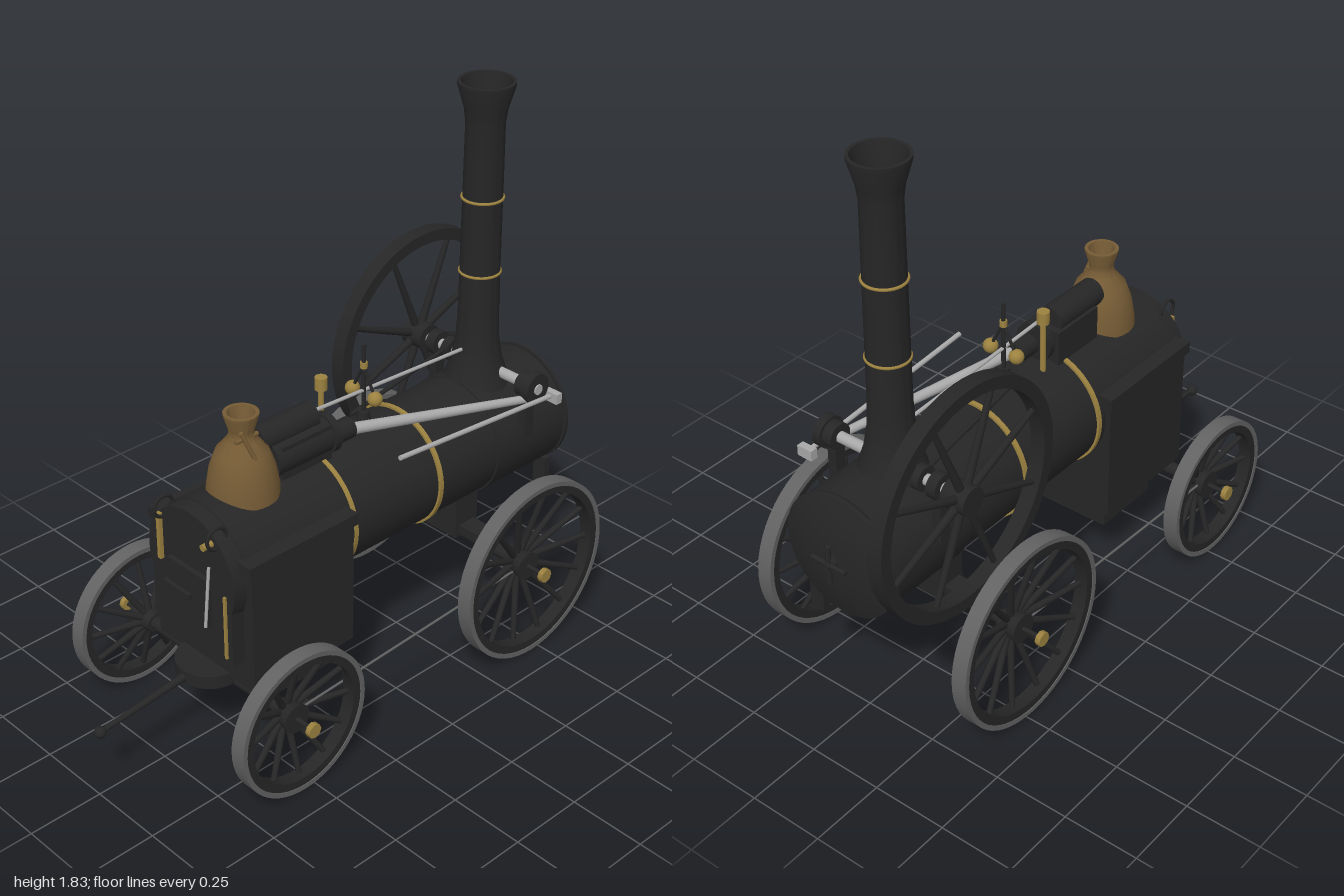
import * as THREE from 'three';
import { toCreasedNormals } from 'three/addons/utils/BufferGeometryUtils.js';

const material = (name, color) => {
  const m = new THREE.MeshStandardMaterial({ color });
  m.name = name;
  return m;
};

export function createModel() {
  const root = new THREE.Group();
  root.name = 'portableSteamEngine';
  const black = material('black iron', 0x262626);
  const grey = material('tyre grey', 0x626262);
  const steel = material('bright steel', 0xa8a8a8);
  const brass = material('brass', 0x9c8240);
  const bronze = material('bronze', 0x755b35);

  const V = (x, y, z) => new THREE.Vector3(x, y, z);
  const add = (name, geo, mat, x = 0, y = 0, z = 0, parent = root) => {
    const m = new THREE.Mesh(geo, mat);
    m.name = name;
    m.position.set(x, y, z);
    parent.add(m);
    return m;
  };
  const box = (name, mat, x0, x1, y0, y1, z0, z1, parent = root) =>
    add(name, new THREE.BoxGeometry(x1 - x0, y1 - y0, z1 - z0), mat,
      (x0 + x1) / 2, (y0 + y1) / 2, (z0 + z1) / 2, parent);
  // Tapered round bar from a to b
  const rod = (name, mat, a, b, r0, r1 = r0, parent = root, seg = 16) => {
    const d = b.clone().sub(a);
    const m = add(name, new THREE.CylinderGeometry(r1, r0, d.length(), seg), mat, 0, 0, 0, parent);
    m.position.copy(a).addScaledVector(d, 0.5);
    m.quaternion.setFromUnitVectors(V(0, 1, 0), d.normalize());
    return m;
  };
  const lathe = (pts, seg = 48) => toCreasedNormals(
    new THREE.LatheGeometry(pts.map(p => new THREE.Vector2(p[0], p[1])), seg), 0.6);
  // Rectangular-section ring about the z axis
  const ring = (ri, ro, w, seg = 56) =>
    lathe([[ri, -w / 2], [ro, -w / 2], [ro, w / 2], [ri, w / 2], [ri, -w / 2]], seg).rotateX(Math.PI / 2);
  const ball = (name, mat, x, y, z, r) => add(name, new THREE.SphereGeometry(r, 20, 14), mat, x, y, z);

  // Boiler, smokebox and bands
  const cy = 0.645;
  rod('boilerBarrel', black, V(-0.2, cy, 0), V(0.55, cy, 0), 0.198, 0.198, root, 56);
  rod('smokebox', black, V(0.5, cy, 0), V(0.815, cy, 0), 0.203, 0.203, root, 56);
  for (const x of [-0.135, 0.235])
    add('boilerBand', ring(0.19, 0.206, 0.016).rotateY(Math.PI / 2), brass, x, cy, 0);
  add('smokeboxDoor', lathe([[0, 0], [0.206, 0], [0.206, 0.012], [0.15, 0.03], [0.08, 0.04], [0, 0.043]])
    .rotateZ(-Math.PI / 2), black, 0.825, cy, 0);
  rod('doorBoss', black, V(0.81, cy, 0), V(0.885, cy, 0), 0.02);
  rod('doorHandle', black, V(0.885, cy - 0.065, 0), V(0.885, cy + 0.065, 0), 0.008);
  rod('doorHandle', black, V(0.885, cy, -0.065), V(0.885, cy, 0.065), 0.008);
  rod('doorPin', black, V(0.87, cy, 0), V(0.9, cy, 0), 0.012);
  box('smokeboxBracket', black, 0.785, 0.81, 0.36, 0.5, 0.11, 0.16);

  // Firebox with rounded crown, ledge and ash pan
  box('firebox', black, -0.57, -0.165, 0.28, 0.72, -0.222, 0.222);
  box('fireboxLedge', black, -0.585, -0.155, 0.7, 0.74, -0.232, 0.232);
  rod('fireboxCrown', black, V(-0.565, cy, 0), V(-0.14, cy, 0), 0.203, 0.203, root, 56);
  box('ashPan', black, -0.47, -0.22, 0.18, 0.29, -0.17, 0.17);

  // Backhead, fire door and gauges
  rod('backhead', black, V(-0.615, cy, 0), V(-0.56, cy, 0), 0.195, 0.2, root, 48);
  box('backheadPlate', black, -0.615, -0.56, 0.38, cy, -0.18, 0.18);
  box('fireDoor', black, -0.632, -0.61, 0.48, 0.65, -0.09, 0.09);
  box('fireDoorLatch', black, -0.645, -0.625, 0.55, 0.57, -0.1, 0.02);
  box('gaugePost', brass, -0.628, -0.61, 0.62, 0.78, -0.14, -0.125);
  box('trimStrip', brass, -0.622, -0.61, 0.4, 0.62, 0.15, 0.16);
  rod('regulatorLever', steel, V(-0.665, 0.52, 0.12), V(-0.645, 0.72, 0.12), 0.005);
  rod('tryCock', brass, V(-0.65, 0.78, 0.1), V(-0.6, 0.78, 0.1), 0.011);
  for (const z of [-0.12, 0.12])
    add('backheadHoop', new THREE.TorusGeometry(0.035, 0.006, 8, 24), black, -0.612, 0.805, z);

  // Chimney, hollow at the top
  const chimney = add('chimney', lathe([[0.115, 0.8], [0.1, 0.85], [0.083, 0.9], [0.071, 0.97], [0.066, 1.06],
    [0.062, 1.71], [0.068, 1.755], [0.09, 1.83], [0.09, 1.842], [0.08, 1.842], [0.057, 1.73], [0.05, 1.4], [0, 1.4]]), black, 0.6);
  chimney.material.side = THREE.FrontSide;
  for (const y of [1.21, 1.463])
    add('chimneyBand', new THREE.TorusGeometry(0.065, 0.005, 8, 40).rotateX(Math.PI / 2), brass, 0.6, y);

  // Safety valve dome
  add('valveDome', lathe([[0.112, 0.82], [0.11, 0.85], [0.1, 0.91], [0.08, 0.965], [0.05, 1.0], [0.039, 1.02],
    [0.04, 1.04], [0.054, 1.085], [0.054, 1.092], [0.042, 1.092], [0.03, 1.04], [0, 1.04]], 40), bronze, -0.405);
  rod('valveLever', bronze, V(-0.45, 1.06, 0.05), V(-0.41, 0.95, 0.075), 0.007);
  rod('valveArm', bronze, V(-0.455, 1.02, 0.03), V(-0.37, 1.02, 0.03), 0.007);

  // Engine cylinder and valve chest
  rod('cylinder', black, V(-0.32, 0.9, 0.015), V(-0.08, 0.9, 0.015), 0.058, 0.058, root, 32);
  rod('cylinderCover', black, V(-0.1, 0.9, 0.015), V(-0.075, 0.9, 0.015), 0.066, 0.066, root, 32);
  rod('valveChest', black, V(-0.345, 0.965, -0.01), V(-0.125, 0.965, -0.01), 0.046, 0.046, root, 32);
  box('cylinderSaddle', black, -0.3, -0.1, 0.82, 0.95, -0.065, 0.06);
  rod('glandBlock', black, V(-0.08, 0.89, 0.03), V(0, 0.89, 0.03), 0.035);

  // Connecting rod, guide rod and valve rods
  rod('connectingRod', steel, V(-0.01, 0.89, 0.04), V(0.62, 0.83, 0.23), 0.019, 0.013);
  rod('guideRod', steel, V(0, 0.875, 0.25), V(0.69, 0.82, 0.25), 0.008);
  box('guideBlock', steel, 0.68, 0.705, 0.8, 0.835, 0.225, 0.28);
  rod('valveRod', steel, V(-0.13, 0.982, 0), V(0.54, 0.95, 0), 0.006);
  rod('eccentricRod', black, V(0.08, 0.87, -0.045), V(0.62, 0.88, -0.135), 0.007);

  // Crankshaft, bearings and crank
  const sx = 0.625, sy = 0.865;
  rod('crankshaft', steel, V(sx, sy, -0.31), V(sx, sy, 0.25), 0.018);
  rod('crankDisc', black, V(sx, sy, 0.215), V(sx, sy, 0.245), 0.052, 0.052, root, 28);
  for (const s of [-1, 1]) {
    rod('bearing', black, V(sx, sy, s * 0.18), V(sx, sy, s * 0.215), 0.042, 0.042, root, 24);
    box('bearingBracket', black, sx - 0.02, sx + 0.02, 0.68, 0.86, s * 0.2 - 0.016, s * 0.2 + 0.016);
  }
  rod('eccentric', black, V(sx, sy, -0.15), V(sx, sy, -0.12), 0.04, 0.04, root, 24);

  // Flywheel
  const fly = new THREE.Group();
  fly.name = 'flywheel';
  fly.position.set(sx, sy, -0.287);
  root.add(fly);
  add('flywheelRim', ring(0.335, 0.375, 0.052, 72), black, 0, 0, 0, fly);
  rod('flywheelHub', black, V(0, 0, -0.035), V(0, 0, 0.05), 0.046, 0.046, fly, 24);
  for (let i = 0; i < 8; i++) {
    const a = (i + 0.5) * Math.PI / 4, c = Math.cos(a), s = Math.sin(a);
    rod('flywheelSpoke', black, V(c * 0.03, s * 0.03, 0), V(c * 0.345, s * 0.345, 0), 0.014, 0.009, fly, 10);
  }

  // Governor and lubricator
  rod('governorBase', black, V(0.09, 0.83, 0), V(0.09, 0.9, 0), 0.03, 0.018);
  rod('governorSpindle', black, V(0.09, 0.88, 0), V(0.09, 1.13, 0), 0.007);
  rod('governorCap', brass, V(0.09, 1.05, 0), V(0.09, 1.07, 0), 0.012);
  for (const s of [-1, 1]) {
    ball('governorBall', brass, 0.09, 0.96, s * 0.05, 0.024);
    rod('governorArm', black, V(0.09, 1.06, 0), V(0.09, 0.96, s * 0.05), 0.005);
  }
  rod('lubricatorStem', brass, V(-0.047, 0.83, -0.045), V(-0.047, 1.02, -0.045), 0.009);
  rod('lubricatorCup', brass, V(-0.047, 1.01, -0.045), V(-0.047, 1.052, -0.045), 0.02);

  // Dished road wheels, axles and hub caps
  const axles = [
    { x: 0.47, r: 0.313, n: 14, z: 0.387, name: 'frontWheel' },
    { x: -0.535, r: 0.242, n: 12, z: 0.38, name: 'rearWheel' },
  ];
  for (const { x, r, n, z, name } of axles) {
    const y = r + 0.01;
    rod('axle', black, V(x, y, -0.34), V(x, y, 0.34), 0.022);
    for (const s of [1, -1]) {
      const w = new THREE.Group();
      w.name = name;
      w.position.set(x, y, s * z);
      if (s < 0) w.rotation.y = Math.PI;
      root.add(w);
      add('tyre', ring(r - 0.016, r, 0.052), grey, 0, 0, 0, w);
      add('felloe', ring(r - 0.042, r - 0.015, 0.046), black, 0, 0, 0, w);
      rod('hub', black, V(0, 0, -0.09), V(0, 0, -0.01), 0.032, 0.048, w, 24);
      for (let i = 0; i < n; i++) {
        const a = i * 2 * Math.PI / n, c = Math.cos(a), t = Math.sin(a);
        rod('spoke', black, V(c * 0.03, t * 0.03, -0.055), V(c * (r - 0.03), t * (r - 0.03), -0.004), 0.012, 0.009, w, 10);
      }
      rod('axleStub', black, V(0, 0, -0.02), V(0, 0, 0.05), 0.008, 0.008, w, 10);
      rod('hubCap', brass, V(0, 0, 0.05), V(0, 0, 0.068), 0.024, 0.024, w, 8);
    }
  }
  for (const s of [-1, 1])
    rod('brakeRod', grey, V(-0.5, 0.265, s * 0.35), V(0.45, 0.305, s * 0.345), 0.004, 0.004, root, 8);

  // Axle saddle, turntable and drawbar
  box('axleSaddle', black, 0.42, 0.52, 0.32, 0.48, -0.1, 0.1);
  box('axleBeam', black, 0.435, 0.505, 0.335, 0.365, -0.22, 0.22);
  rod('turntable', black, V(-0.555, 0.25, 0), V(-0.555, 0.295, 0), 0.11, 0.11, root, 32);
  rod('drawbar', black, V(-0.98, 0.235, 0), V(-0.6, 0.275, 0), 0.008, 0.014);
  ball('drawbarEnd', black, -0.981, 0.235, 0, 0.019);

  return root;
}
